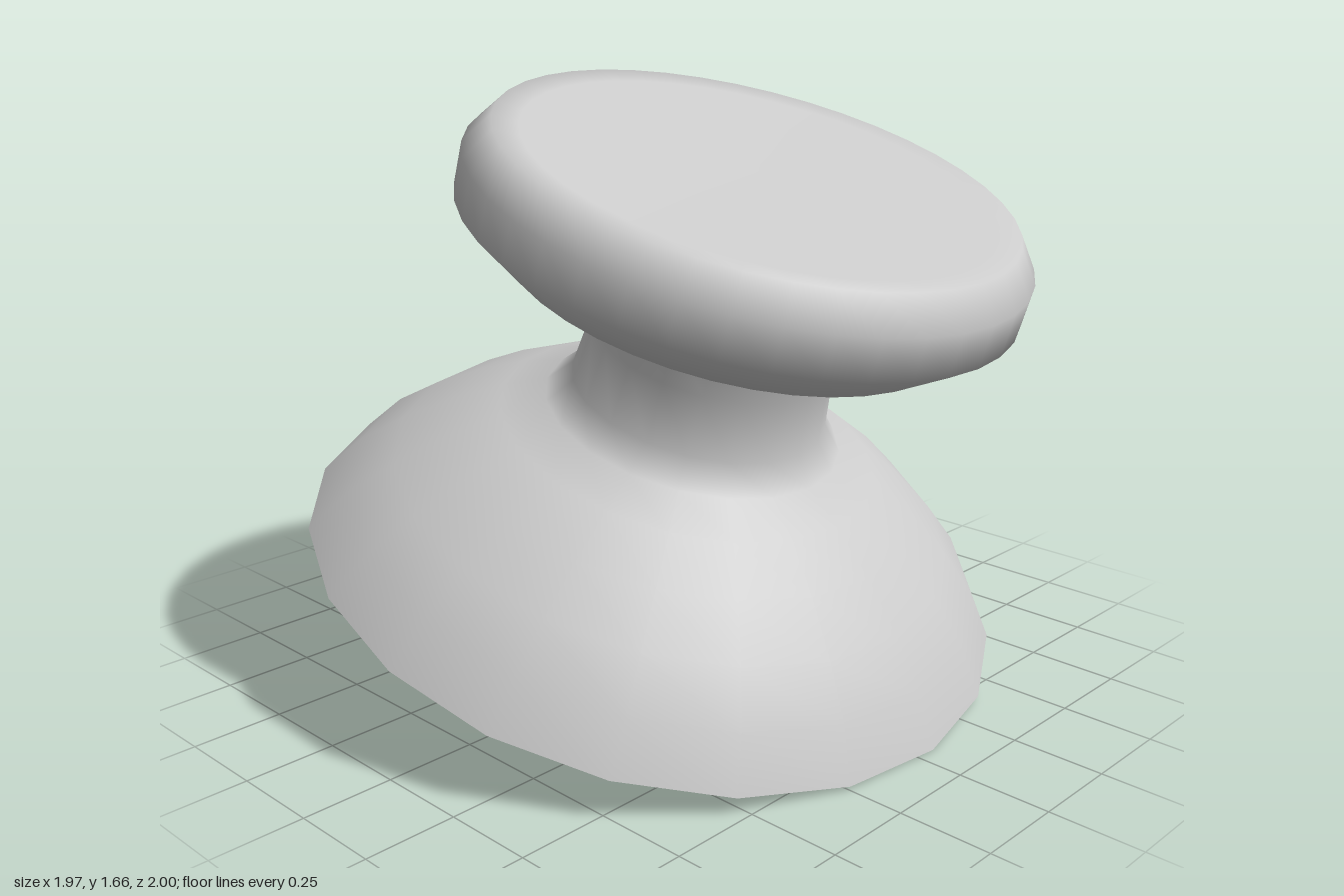
import * as THREE from 'three';

const material = new THREE.MeshStandardMaterial({ color: 0xcccccc, side: THREE.DoubleSide });

// Revolves a [radius, height] profile, listed from bottom to top
function revolve(name, profile, sides) {
  const points = profile.map(([r, h]) => new THREE.Vector2(r, h));
  const mesh = new THREE.Mesh(new THREE.LatheGeometry(points, sides, 0.06), material);
  mesh.name = name;
  return mesh;
}

export function createModel() {
  const model = new THREE.Group();
  model.name = 'thumbstick';

  // Hollow dome skirt flowing into the waisted neck, open underneath
  const domeAndNeck = revolve('domeAndNeck', [
    [0.987, 0], [0.9, 0.125], [0.79, 0.23], [0.66, 0.332], [0.53, 0.413],
    [0.415, 0.466], [0.356, 0.536], [0.335, 0.7], [0.352, 0.858],
  ], 20);

  // Hollow cap: sloping underside, rounded rim and slightly dished top
  const cap = revolve('cap', [
    [0.345, 0.857], [0.615, 0.89], [0.75, 1.005], [0.75, 1.12],
    [0.69, 1.203], [0.62, 1.197], [0, 1.192],
  ], 40);

  // The whole stick leans forward
  model.add(domeAndNeck, cap);
  model.rotation.x = THREE.MathUtils.degToRad(18);
  model.position.set(0, 0.305, -0.06);

  const root = new THREE.Group();
  root.add(model);
  return root;
}
